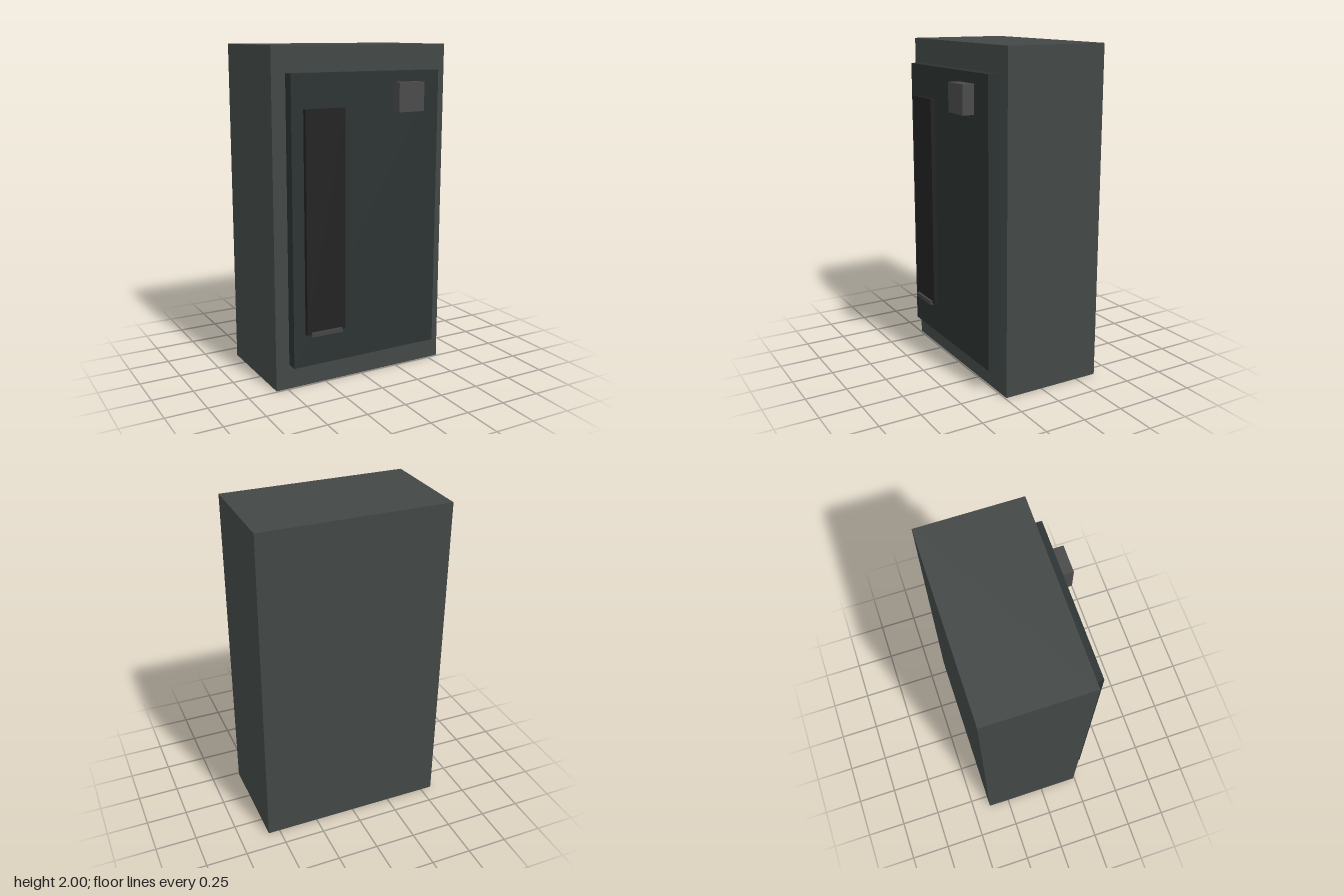
import * as THREE from 'three';

// Box given by its extents along each axis
function block(name, color, [x0, x1], [y0, y1], [z0, z1]) {
  const mesh = new THREE.Mesh(
    new THREE.BoxGeometry(x1 - x0, y1 - y0, z1 - z0),
    new THREE.MeshStandardMaterial({ color })
  );
  mesh.position.set((x0 + x1) / 2, (y0 + y1) / 2, (z0 + z1) / 2);
  mesh.name = name;
  return mesh;
}

export function createModel() {
  const group = new THREE.Group();
  group.name = 'cabinet';
  group.add(
    // Main housing
    block('housing', 0x424846, [-0.571, 0.571], [0, 2], [-0.386, 0.241]),
    // Raised door on the front
    block('door', 0x2b3332, [-0.486, 0.484], [0.15, 1.85], [0.241, 0.31]),
    // Tall dark strip with a small ledge at its foot
    block('strip', 0x222222, [-0.412, -0.162], [0.35, 1.655], [0.308, 0.338]),
    block('ledge', 0x444444, [-0.388, -0.188], [0.34, 0.365], [0.311, 0.353]),
    // Square knob standing just clear of the door
    block('knob', 0x4b4a4a, [0.165, 0.335], [1.618, 1.788], [0.314, 0.385])
  );
  return group;
}
